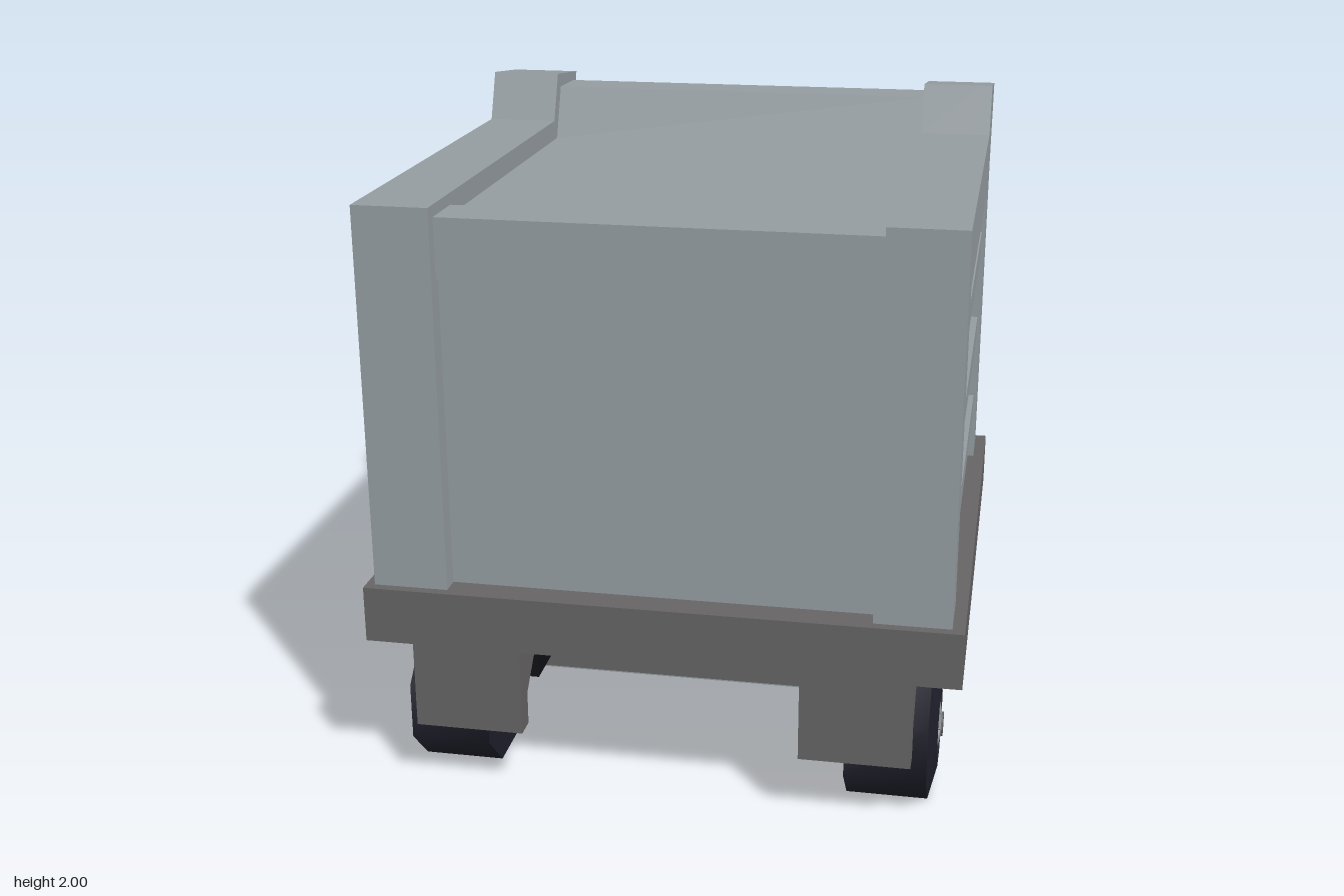
import * as THREE from 'three';
import { toCreasedNormals } from 'three/addons/utils/BufferGeometryUtils.js';

const paint = (name, color) => {
  const m = new THREE.MeshStandardMaterial({ color });
  m.name = name;
  return m;
};

export function createModel() {
  const root = new THREE.Group();
  root.name = 'containerTrailer';
  const light = paint('lightGrey', 0x959da1);
  const dark = paint('darkGrey', 0x666465);
  const tyre = paint('tyreBlue', 0x1f1f2b);
  const black = paint('black', 0x111116);

  // Edges sharper than the crease angle stay hard
  const add = (parent, name, geo, mat, crease = 0.1) => {
    const mesh = new THREE.Mesh(toCreasedNormals(geo, crease), mat);
    mesh.name = name;
    parent.add(mesh);
    return mesh;
  };
  // Box given by its limits on each axis
  const box = (parent, name, mat, [x0, x1], [y0, y1], [z0, z1]) =>
    add(parent, name, new THREE.BoxGeometry(x1 - x0, y1 - y0, z1 - z0)
      .translate((x0 + x1) / 2, (y0 + y1) / 2, (z0 + z1) / 2), mat);
  const extrude = (pts, depth) => new THREE.ExtrudeGeometry(
    new THREE.Shape(pts.map(p => new THREE.Vector2(...p))), { depth, bevelEnabled: false });
  // Side profile of [z, y] points, swept from x0 to x1
  const sweep = (parent, name, mat, pts, x0, x1) =>
    add(parent, name, extrude(pts, x1 - x0).rotateY(-Math.PI / 2).translate(x1, 0, 0), mat);

  // Deck
  box(root, 'deck', dark, [-0.9, 0.9], [0.5, 0.675], [-0.81, 0.87]);

  // Container body
  const body = new THREE.Group();
  body.name = 'container';
  body.position.x = -0.005;
  root.add(body);
  sweep(body, 'containerCore', light, [[0.78, 0.675], [0.78, 1.78], [-0.57, 1.78],
    [-0.64, 1.95], [-0.82, 1.945], [-0.735, 1.7], [-0.735, 0.675]], -0.64, 0.64);
  box(body, 'frontTopBeam', light, [-0.64, 0.64], [1.63, 1.81], [0.64, 0.8]);
  for (const y of [0.98, 1.38])
    box(body, 'rearRail', light, [-0.64, 0.64], [y, y + 0.1], [-0.765, -0.73]);

  // Side walls: solid inner wall, notched outer frame and rails
  const outline = [[0.84, 0.675], [0.84, 1.845], [-0.54, 1.845], [-0.605, 2],
    [-0.865, 1.97], [-0.775, 1.71], [-0.775, 0.675]];
  const notch = [[-0.59, 0.675], [-0.59, 1.64], [0.66, 1.64], [0.66, 0.675]];
  for (const s of [1, -1]) {
    const span = (a, b) => s > 0 ? [a, b] : [-b, -a];
    sweep(body, 'sideWall', light, outline, ...span(0.64, 0.83));
    sweep(body, 'sideFrame', light, [...outline, ...notch], ...span(0.83, 0.868));
    for (const [y0, y1] of [[1.42, 1.5], [1.12, 1.195], [0.825, 0.905]])
      box(body, 'sideRail', light, span(0.82, 0.858), [y0, y1], [-0.59, 0.66]);

    // Fender with two wheel arches and hanging flaps, and its black inner lining
    sweep(root, 'fender', dark, [[0.85, 0.5], [0.85, 0.215], [0.78, 0.215], [0.78, 0.32],
      [0.66, 0.44], [-0.55, 0.44], [-0.615, 0.38], [-0.615, 0.09], [-0.675, 0.09],
      [-0.675, 0.5]], ...span(0.425, 0.76));
    box(root, 'archLining', black, span(0.43, 0.56), [0.295, 0.445], [-0.61, 0.63]);
  }

  // Underframe
  box(root, 'centreBox', dark, [-0.8, 0.8], [0.169, 0.5], [-0.135, 0.31]);
  box(root, 'bellyPlate', light, [-0.8, 0.8], [0.165, 0.169], [-0.135, 0.31]);
  for (const y of [0.24, 0.38])
    box(root, 'wrapBar', light, [-0.835, 0.835], [y, y + 0.045], [-0.147, 0.325]);
  add(root, 'rearApron', extrude([[-0.62, 0.5], [-0.5, 0.3], [0.5, 0.3], [0.62, 0.5]], 0.085)
    .translate(0, 0, -0.765), black);

  // Wheels: octagonal tyre, recessed rim, six tilted spokes and a hub
  const R = 0.215 / Math.cos(Math.PI / 8);
  const tyreProfile = [[0, -0.135], [R, -0.135], [R, 0.115], [0.13, 0.14], [0.12, 0.1], [0, 0.1]]
    .map(p => new THREE.Vector2(...p));
  const makeWheel = () => {
    const wheel = new THREE.Group();
    wheel.name = 'wheel';
    add(wheel, 'tyre', new THREE.LatheGeometry(tyreProfile, 8, Math.PI / 8)
      .rotateZ(-Math.PI / 2), tyre, 0.9);
    for (let i = 0; i < 6; i++)
      add(wheel, 'spoke', new THREE.BoxGeometry(0.03, 0.085, 0.036).rotateZ(0.25)
        .translate(0.12, 0.07, 0).rotateX(i * Math.PI / 3), light);
    add(wheel, 'hub', new THREE.CylinderGeometry(0.038, 0.038, 0.05, 10)
      .rotateZ(-Math.PI / 2).translate(0.125, 0, 0), dark);
    return wheel;
  };
  for (const z of [0.56, -0.39])
    for (const s of [1, -1]) {
      const wheel = makeWheel();
      wheel.position.set(s * 0.69, 0.215, z);
      if (s < 0) wheel.rotation.y = Math.PI;
      root.add(wheel);
    }

  // Rear bumper with swept-forward ends, plates and a centre block
  const bumper = new THREE.Group();
  bumper.name = 'rearBumper';
  root.add(bumper);
  const edge = [[-0.872, -0.71], [-0.64, -0.815], [0.64, -0.815], [0.872, -0.71],
    [0.85, -0.685], [0.62, -0.775], [-0.62, -0.775], [-0.85, -0.685]];
  add(bumper, 'bumperBar', extrude(edge.map(([x, z]) => [x, -z]), 0.115)
    .rotateX(-Math.PI / 2).translate(0, 0.218, 0), light);
  for (const x of [-0.51, 0.51])
    box(bumper, 'bumperPlate', light, [x - 0.127, x + 0.127], [0.23, 0.32], [-0.832, -0.8]);
  sweep(bumper, 'bumperBlock', light, [[-0.765, 0.43], [-0.83, 0.37], [-0.835, 0.19],
    [-0.765, 0.19]], -0.212, 0.212);
  for (const x of [-0.46, 0.46])
    box(bumper, 'bumperBracket', dark, [x - 0.03, x + 0.03], [0.24, 0.31], [-0.78, -0.66]);
  return root;
}
